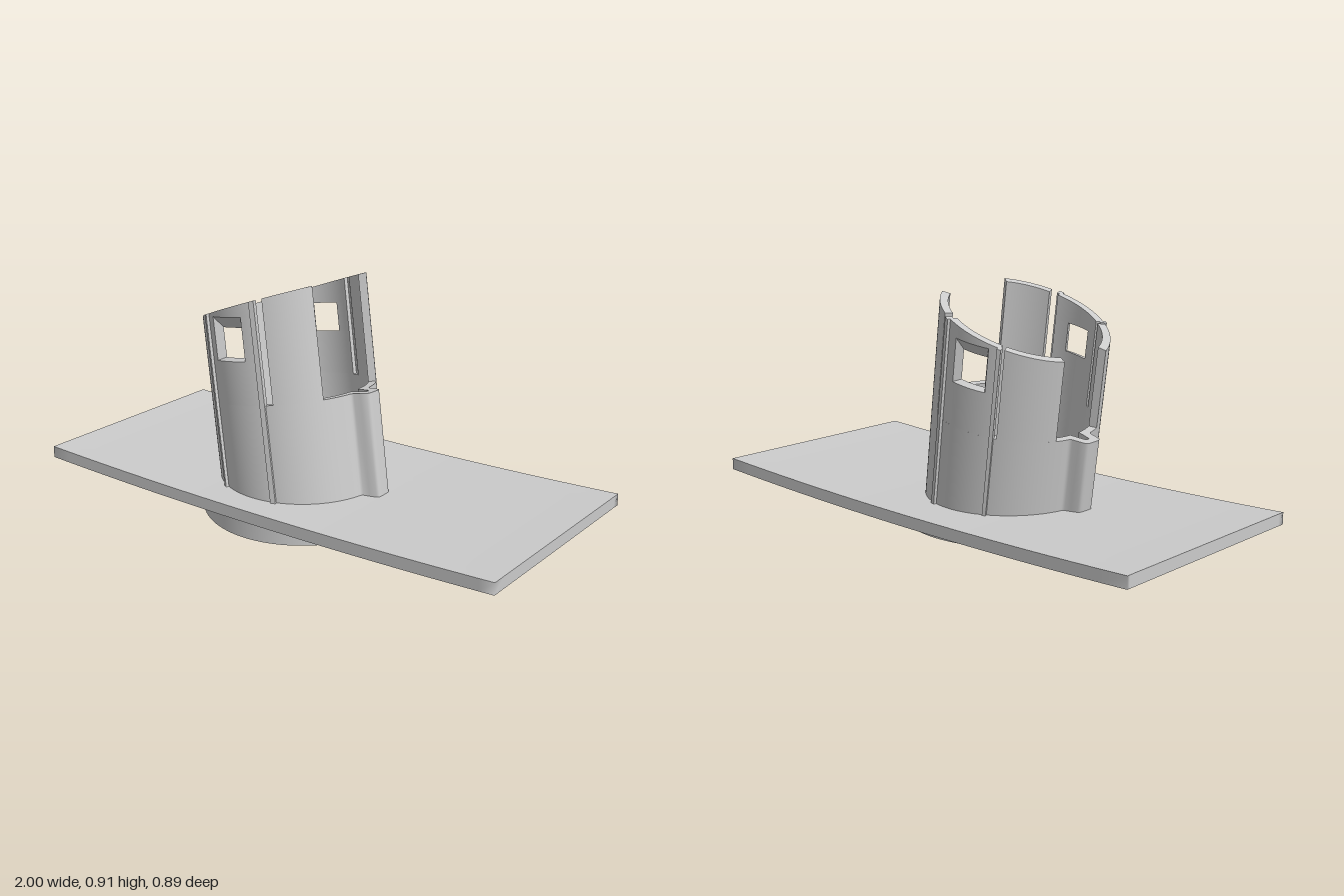
import * as THREE from 'three';
import { mergeVertices } from 'three/addons/utils/BufferGeometryUtils.js';

const material = new THREE.MeshStandardMaterial({ color: 0xcccccc });
const { cos, sin, abs, min, PI } = Math;
const rad = d => d * PI / 180;
const smooth = THREE.MathUtils.smoothstep;
const mix = THREE.MathUtils.lerp;

// Solid slab from P(u, v, side): two skins plus four edge faces, sharp between them
function slab(name, nu, nv, P) {
  const pos = [], normal = [];
  const grid = (na, nb, f) => {
    const pts = [], index = [], row = nb + 1;
    for (let i = 0; i <= na; i++)
      for (let j = 0; j <= nb; j++) pts.push(...f(i / na, j / nb));
    for (let i = 0; i < na; i++)
      for (let j = 0; j < nb; j++) {
        const k = i * row + j;
        index.push(k, k + row, k + row + 1, k, k + row + 1, k + 1);
      }
    let g = new THREE.BufferGeometry();
    g.setAttribute('position', new THREE.Float32BufferAttribute(pts, 3));
    g.setIndex(index);
    g = mergeVertices(g, 1e-5);
    g.computeVertexNormals();
    g = g.toNonIndexed();
    for (const x of g.attributes.position.array) pos.push(x);
    for (const x of g.attributes.normal.array) normal.push(x);
  };
  grid(nv, nu, (a, b) => P(b, a, 0));
  grid(nu, nv, (a, b) => P(a, b, 1));
  grid(nu, 1, (a, b) => P(a, 1, 1 - b));
  grid(1, nu, (a, b) => P(b, 0, 1 - a));
  grid(1, nv, (a, b) => P(1, b, 1 - a));
  grid(nv, 1, (a, b) => P(0, a, 1 - b));
  const geo = new THREE.BufferGeometry();
  geo.setAttribute('position', new THREE.Float32BufferAttribute(pos, 3));
  geo.setAttribute('normal', new THREE.Float32BufferAttribute(normal, 3));
  const mesh = new THREE.Mesh(geo, material);
  mesh.name = name;
  return mesh;
}

// Shared dimensions
const HX = -0.065, HZ = 0.028, HOLE = 0.19;
const axis = new THREE.Vector3(-0.157, 0.986, -0.045).normalize();
const OUT = 0.31, IN = 0.28, SHELF = 0.33;
const bend = x => 0.021 * x * x;

// Heights along the leaning axis: foot follows the plate, top is cut on a slant
const foot = (t, r) => (-0.02 + axis.x * r * cos(t) + axis.z * r * sin(t)) / axis.y;
const topCut = (t, r) => 0.688 + 0.209 * r * cos(t) - 0.06 * (r * cos(t)) ** 2;
const shelf = () => SHELF;

// Curved wall piece; angles in degrees and heights may differ per side (0 outer, 1 inner)
function wall(name, a0, a1, bottom, top, radius = (t, s) => (s ? IN : OUT), n = 12) {
  const at = (a, s) => (typeof a === 'function' ? a(s) : a);
  return slab(name, n, 1, (u, v, s) => {
    const t = rad(mix(at(a0, s), at(a1, s), u));
    const r = radius(t, s);
    return [r * cos(t), mix(bottom(t, r, s), top(t, r, s), v), r * sin(t)];
  });
}

function plate() {
  // Outline angles seen from the hole, with the four corners included
  const X = 1, Z = 0.445;
  const angles = [];
  for (let i = 0; i <= 96; i++) angles.push(i / 96 * 2 * PI);
  for (const x of [-X, X])
    for (const z of [-Z, Z]) angles.push((Math.atan2(z - HZ, x - HX) + 2 * PI) % (2 * PI));
  angles.sort((a, b) => a - b);
  const n = angles.length - 1;
  return slab('curvedPlate', n, 12, (u, v, s) => {
    const t = angles[Math.round(u * n)], c = cos(t), d = sin(t);
    const reach = min((c > 0 ? X - HX : X + HX) / abs(c), (d > 0 ? Z - HZ : Z + HZ) / abs(d));
    const r = mix(HOLE, reach, v);
    const x = HX + r * c;
    return [x, (s ? 0.131 : 0.086) + bend(x), HZ + r * d];
  });
}

// Dished flange below the plate, tilted along z
function flange() {
  return slab('lowerFlange', 96, 16, (u, v, s) => {
    const t = u * 2 * PI;
    const x = HX + mix(HOLE, 0.395, v) * cos(t);
    const z = HZ + mix(HOLE, 0.376, v) * sin(t);
    const dish = 0.045 * (1 - smooth(v, 0, 0.85));
    return [x, s ? 0.1 : 0.019 + bend(x) - 0.0467 * z + dish, z];
  });
}

function socket() {
  const g = new THREE.Group();
  g.name = 'leaningSocket';
  g.position.set(-0.075, 0.13, HZ);
  g.quaternion.setFromUnitVectors(new THREE.Vector3(0, 1, 0), axis);

  // Lower ring with a hollow key bulging out on each side
  const keyed = (t, s) => {
    const d = abs(Math.asin(sin(t))) * 180 / PI;
    return s ? IN + 0.06 * (1 - smooth(d, 2, 4)) : OUT + 0.06 * (1 - smooth(d, 5, 10));
  };
  g.add(wall('lowerRing', 0, 360, foot, shelf, keyed, 240));

  // Upright fingers, front and back
  for (const m of [1, -1]) {
    const side = m > 0 ? 'front' : 'back';
    const piece = (name, a, b, bottom, top, radius, n) => {
      const turn = q => (typeof q === 'function' ? s => m * q(s) : m * q);
      const [from, to] = m > 0 ? [a, b] : [turn(b), turn(a)];
      g.add(wall(side + name, from, to, bottom, top, radius, n));
    };
    piece('LeftFinger', 32, 66, shelf, topCut);
    piece('RightFinger', 119.5, 159, shelf, topCut);

    // Middle finger framing a window that widens outward
    const w0 = s => (s ? 84.7 : 82.5), w1 = s => (s ? 106 : 109);
    const sill = (t, r, s) => (s ? 0.498 : 0.49), head = (t, r, s) => (s ? 0.608 : 0.65);
    piece('WindowSill', 73, 116.5, shelf, sill);
    piece('WindowHead', 73, 116.5, head, topCut);
    piece('WindowLeftPost', 73, w0, sill, head);
    piece('WindowRightPost', w1, 116.5, sill, head);

    // Thin raised ribs along the finger's edges
    const ribRadius = (t, s) => (s ? 0.295 : 0.321);
    piece('LeftRib', 71, 74.5, foot, topCut, ribRadius, 2);
    piece('RightRib', 115, 117.5, foot, topCut, ribRadius, 2);
  }
  return g;
}

export function createModel() {
  const model = new THREE.Group();
  model.name = 'socketOnPlate';
  model.add(plate(), flange(), socket());
  return model;
}
